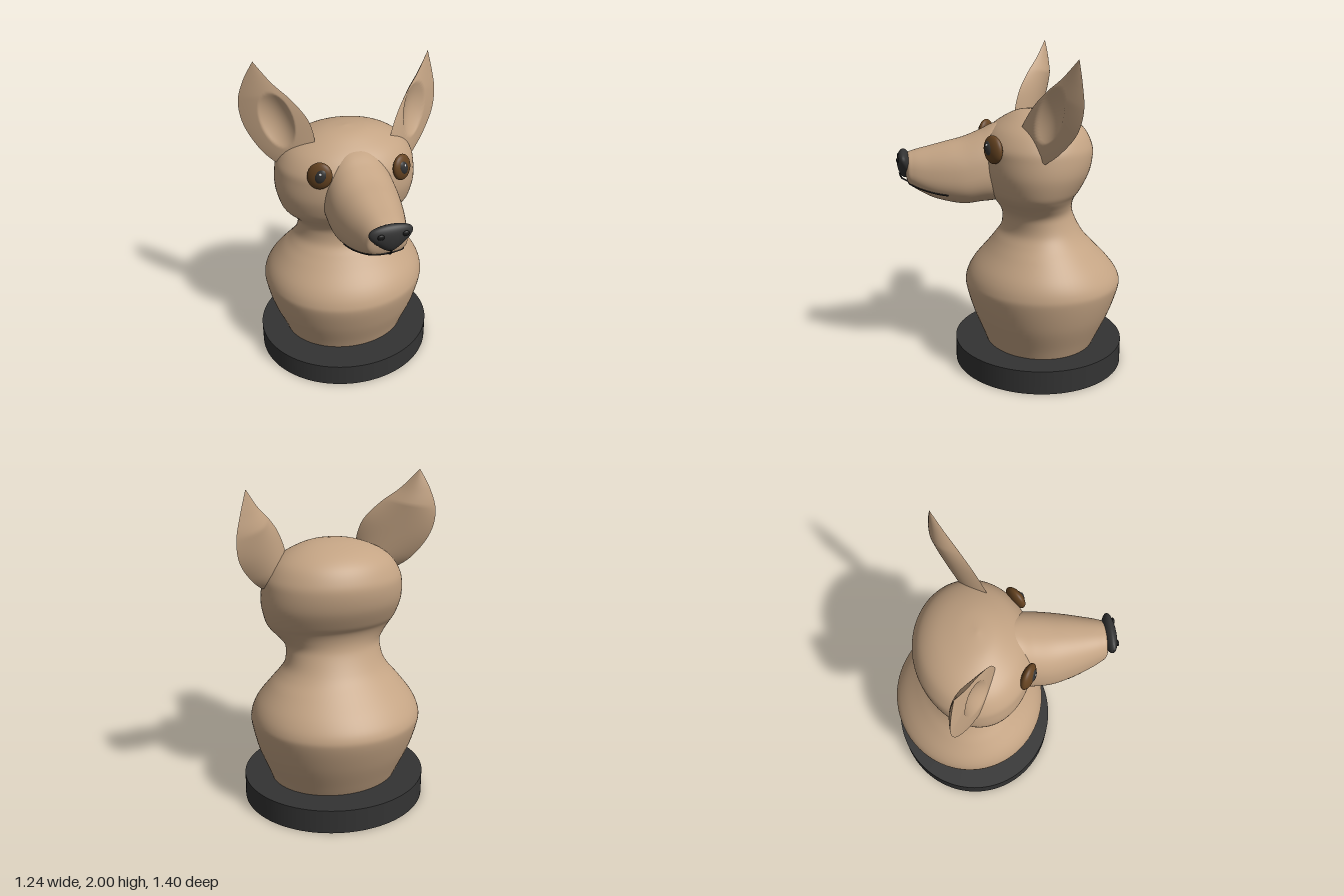
import * as THREE from 'three';
import { mergeVertices } from 'three/addons/utils/BufferGeometryUtils.js';

const CX = -0.03; // centre line of the bust

// Catmull-Rom through rows of numbers, t counted in rows
function sample(keys, t) {
  const n = keys.length - 1;
  const i = Math.min(Math.floor(t), n - 1), f = t - i;
  const row = (k) => keys[Math.max(0, Math.min(n, k))];
  const [a, b, c, d] = [row(i - 1), row(i), row(i + 1), row(i + 2)];
  return b.map((p, k) => p + 0.5 * f * (c[k] - a[k] +
    f * (2 * a[k] - 5 * p + 4 * c[k] - d[k] + f * (3 * (p - c[k]) + d[k] - a[k]))));
}

// Smooth surface over a grid; fn(u, v) gives [x, y, z]
function grid(nu, nv, fn) {
  const pos = [], index = [];
  for (let j = 0; j <= nv; j++) for (let i = 0; i <= nu; i++) pos.push(...fn(i / nu, j / nv));
  for (let j = 0; j < nv; j++) for (let i = 0; i < nu; i++) {
    const a = j * (nu + 1) + i, d = a + nu + 1;
    index.push(a, a + 1, d + 1, a, d + 1, d);
  }
  let g = new THREE.BufferGeometry();
  g.setAttribute('position', new THREE.Float32BufferAttribute(pos, 3));
  g.setIndex(index);
  g = mergeVertices(g, 1e-5);
  g.computeVertexNormals();
  return g;
}

// Bust, neck and skull: [y, half width, front z, back z]
const bustKeys = [
  [0.12, 0.39, 0.16, -0.51], [0.2, 0.42, 0.19, -0.55], [0.35, 0.48, 0.25, -0.62],
  [0.5, 0.517, 0.293, -0.672], [0.57, 0.518, 0.29, -0.672], [0.65, 0.485, 0.25, -0.62],
  [0.75, 0.41, 0.165, -0.525], [0.82, 0.35, 0.11, -0.46], [0.88, 0.312, 0.07, -0.42],
  [0.95, 0.298, 0.06, -0.385], [1.0, 0.303, 0.07, -0.37], [1.05, 0.34, 0.1, -0.37],
  [1.1, 0.385, 0.14, -0.385], [1.15, 0.412, 0.17, -0.42], [1.25, 0.435, 0.2, -0.47],
  [1.35, 0.43, 0.205, -0.49], [1.42, 0.412, 0.195, -0.48], [1.5, 0.355, 0.14, -0.435],
  [1.56, 0.26, 0.06, -0.35], [1.6, 0.14, -0.02, -0.225], [1.615, 0, -0.11, -0.11],
];

// Muzzle: [z, top y, bottom y, half width]
const muzzleKeys = [
  [-0.05, 1.56, 1.12, 0.18], [0.1, 1.535, 1.07, 0.205], [0.2, 1.49, 1.06, 0.213],
  [0.3, 1.45, 1.05, 0.208], [0.4, 1.425, 1.065, 0.188], [0.5, 1.4, 1.095, 0.16],
  [0.6, 1.375, 1.15, 0.125], [0.64, 1.355, 1.19, 0.095], [0.66, 1.28, 1.28, 0],
];
const POWER = 2.4;
const pear = (s) => 1 - 0.15 * s;

function muzzlePoint(u, v) {
  const [z, top, bottom, w] = sample(muzzleKeys, v * (muzzleKeys.length - 1));
  const a = u * Math.PI * 2;
  const bulge = (q) => Math.sign(q) * Math.abs(q) ** (2 / POWER);
  const s = bulge(Math.sin(a));
  return [CX + w * bulge(Math.cos(a)) * pear(s), (top + bottom) / 2 + s * (top - bottom) / 2, z];
}

// Point on the muzzle skin at row t and height y
function lipPoint(side, t, y) {
  const [z, top, bottom, w] = sample(muzzleKeys, t);
  const s = (y - (top + bottom) / 2) / ((top - bottom) / 2);
  const x = w * Math.max(0, 1 - Math.abs(s) ** POWER) ** (1 / POWER) * pear(s);
  return new THREE.Vector3(CX + side * (x + 0.002), y, z);
}

// Leaf-shaped ear between two edge curves, with an oval hollow in front
function earGeometries(side, leftEdge, rightEdge, hollow) {
  const curve = (pts) => new THREE.SplineCurve(pts.map((p) => new THREE.Vector2(...p)));
  const L = curve(leftEdge), R = curve(rightEdge);
  const n = new THREE.Vector3(side * 0.67, 0.1, 1).normalize();
  const surface = (front) => grid(48, 48, (u, v) => {
    const l = L.getPoint(v), r = R.getPoint(v);
    const p = l.clone().lerp(r, front ? u : 1 - u);
    const dome = (1 - (2 * u - 1) ** 2) * Math.min(1, l.distanceTo(r) / 0.25);
    let off = -0.06 * dome;
    if (front) {
      const q = p.clone().sub(hollow).rotateAround(new THREE.Vector2(), side * 0.2);
      const r2 = (q.x / 0.088) ** 2 + (q.y / 0.162) ** 2;
      off = 0.014 * dome - 0.042 * Math.max(0, 1 - r2);
    }
    const z = -0.04 - 0.67 * (Math.abs(p.x) - 0.235) - 0.1 * (p.y - 1.6);
    return [p.x + n.x * off, p.y + n.y * off, z + n.z * off];
  });
  return [surface(true), surface(false)];
}

export function createModel() {
  const model = new THREE.Group();
  const material = (name, color) => {
    const m = new THREE.MeshStandardMaterial({ color });
    m.name = name;
    return m;
  };
  const fur = material('tan fur', 0xc4a484);
  const dark = material('charcoal', 0x333333);
  const line = material('mouth black', 0x161616);
  const iris = material('iris brown', 0x654321);
  const glint = material('eye glint', 0xe8e8e8);
  const add = (name, geometry, mat, parent = model) => {
    const mesh = new THREE.Mesh(geometry, mat);
    mesh.name = name;
    parent.add(mesh);
    return mesh;
  };
  const ball = new THREE.SphereGeometry(1, 32, 24);
  const addBall = (name, mat, pos, scale, parent) => {
    const mesh = add(name, ball, mat, parent);
    mesh.position.set(...pos);
    mesh.scale.set(...scale);
    return mesh;
  };

  // Plinth
  const plinth = add('plinth', new THREE.CylinderGeometry(0.565, 0.565, 0.145, 96), dark);
  plinth.position.set(-0.035, 0.0725, -0.168);
  plinth.scale.z = 0.533 / 0.565;

  // Bust with neck and skull
  add('bustAndSkull', grid(72, 120, (u, v) => {
    const [y, w, front, back] = sample(bustKeys, v * (bustKeys.length - 1));
    const a = u * Math.PI * 2;
    return [CX + w * Math.cos(a), y, (front + back) / 2 - (front - back) / 2 * Math.sin(a)];
  }), fur);

  add('muzzle', grid(64, 64, muzzlePoint), fur);

  // Nose, wide above and narrow below
  const noseGeometry = ball.clone();
  const p = noseGeometry.attributes.position;
  for (let i = 0; i < p.count; i++) {
    const y = p.getY(i);
    p.setXYZ(i, p.getX(i) * 0.13 * (0.85 + 0.5 * y), y * 0.086, p.getZ(i) * 0.043 + y * 0.006);
  }
  noseGeometry.computeVertexNormals();
  add('nose', noseGeometry, dark).position.set(-0.025, 1.296, 0.658);

  // Mouth line
  const tube = (pts) => new THREE.TubeGeometry(new THREE.CatmullRomCurve3(pts), 40, 0.005, 8);
  const lipTop = new THREE.Vector3(CX, 1.185, 0.64);
  add('lipGroove', tube([new THREE.Vector3(CX, 1.24, 0.69), new THREE.Vector3(CX, 1.205, 0.675), lipTop]), line);

  for (const side of [-1, 1]) {
    const label = side > 0 ? 'left' : 'right';
    const lip = [[6.4, 1.182], [5.8, 1.167], [5, 1.143], [4.4, 1.132], [4, 1.128]];
    add(label + 'MouthLine', tube([lipTop, ...lip.map(([t, y]) => lipPoint(side, t, y))]), line);
    addBall(label + 'Nostril', line, [-0.022 + side * 0.07, 1.33, 0.694], [0.02, 0.016, 0.009]);

    // Eye
    const eye = new THREE.Group();
    eye.name = label + 'Eye';
    eye.position.set(side > 0 ? 0.233 : -0.265, side > 0 ? 1.415 : 1.44, 0.142);
    eye.rotation.set(-0.08, side * 0.6, side * 0.45, 'YXZ');
    addBall('iris', iris, [0, 0, 0], [0.074, 0.084, 0.034], eye);
    addBall('pupil', dark, [-side * 0.008, 0.01, 0.016], [0.036, 0.05, 0.025], eye);
    addBall('glint', glint, [-side * 0.004, 0.03, 0.037], [0.008, 0.008, 0.005], eye);
    model.add(eye);
  }

  // Ears, one held slightly lower than the other
  const ears = [
    ['rightEar', -1,
      [[-0.42, 1.385], [-0.52, 1.47], [-0.6, 1.61], [-0.62, 1.75], [-0.585, 1.88], [-0.525, 2.0]],
      [[-0.25, 1.52], [-0.24, 1.59], [-0.27, 1.7], [-0.35, 1.805], [-0.44, 1.89], [-0.525, 2.0]],
      [-0.423, 1.67]],
    ['leftEar', 1,
      [[0.22, 1.47], [0.225, 1.55], [0.29, 1.67], [0.37, 1.76], [0.46, 1.84], [0.55, 1.945]],
      [[0.41, 1.355], [0.5, 1.43], [0.59, 1.55], [0.615, 1.68], [0.59, 1.81], [0.55, 1.945]],
      [0.415, 1.63]],
  ];
  for (const [name, side, left, right, hollow] of ears) {
    const ear = new THREE.Group();
    ear.name = name;
    const [front, back] = earGeometries(side, left, right, new THREE.Vector2(...hollow));
    add('earFront', front, fur, ear);
    add('earBack', back, fur, ear);
    model.add(ear);
  }
  return model;
}
